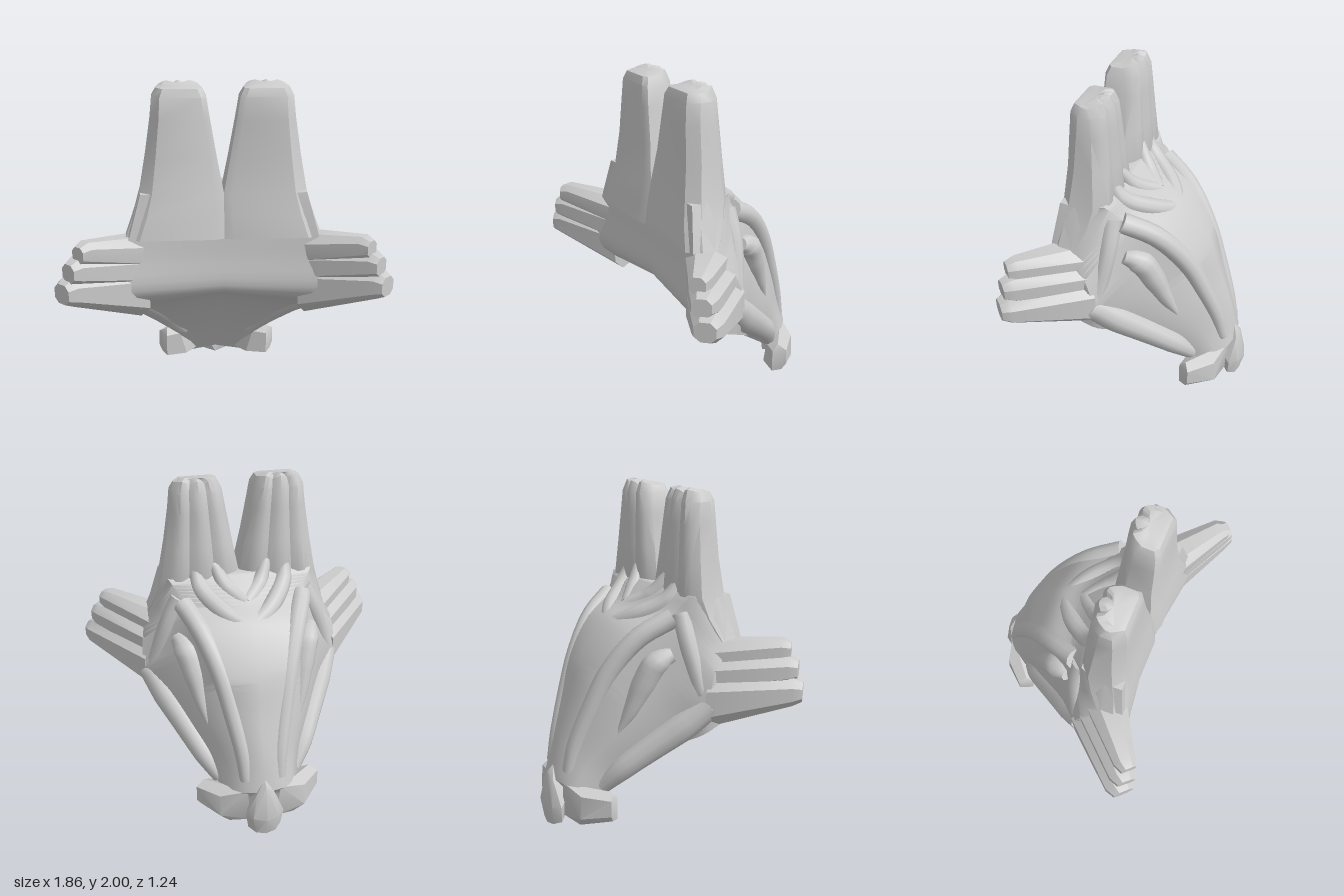
import * as THREE from 'three';
import { toCreasedNormals } from 'three/addons/utils/BufferGeometryUtils.js';
import { ConvexGeometry } from 'three/addons/geometries/ConvexGeometry.js';

const V = (x, y, z) => new THREE.Vector3(x, y, z);
const grey = new THREE.MeshStandardMaterial({ color: 0xcccccc });
grey.name = 'plain grey';

// Skin a list of closed rings, cap both ends and turn the faces outward
function loft(rows, crease = 0.7) {
  const n = rows[0].length, pts = rows.flat(), idx = [];
  for (let r = 0; r < rows.length - 1; r++) {
    for (let i = 0; i < n; i++) {
      const a = r * n + i, b = r * n + (i + 1) % n;
      idx.push(a, b, a + n, b, b + n, a + n);
    }
  }
  [0, rows.length - 1].forEach((r) => {
    const mid = V(0, 0, 0);
    rows[r].forEach((p) => mid.addScaledVector(p, 1 / n));
    const c = pts.push(mid) - 1;
    for (let i = 0; i < n; i++) {
      const a = r * n + i, b = r * n + (i + 1) % n;
      if (r) idx.push(a, b, c); else idx.push(b, a, c);
    }
  });
  let volume = 0;
  for (let i = 0; i < idx.length; i += 3) {
    volume += pts[idx[i]].dot(V(0, 0, 0).crossVectors(pts[idx[i + 1]], pts[idx[i + 2]]));
  }
  if (volume < 0) idx.reverse();
  const g = new THREE.BufferGeometry().setFromPoints(pts);
  g.setIndex(idx);
  return toCreasedNormals(g, crease);
}

// Rounded ridge with a radius at each control point
function ridge(points, radii) {
  const curve = new THREE.CatmullRomCurve3(points);
  const steps = 16, sides = 10, frames = curve.computeFrenetFrames(steps);
  const rows = [];
  for (let i = 0; i <= steps; i++) {
    const t = i / steps, k = Math.min(t * (radii.length - 1), radii.length - 1.001);
    const j = Math.floor(k), rad = THREE.MathUtils.lerp(radii[j], radii[j + 1], k - j);
    const c = curve.getPoint(t), row = [];
    for (let s = 0; s < sides; s++) {
      const a = s / sides * Math.PI * 2;
      row.push(c.clone().addScaledVector(frames.normals[i], Math.cos(a) * rad)
        .addScaledVector(frames.binormals[i], Math.sin(a) * rad));
    }
    rows.push(row);
  }
  return loft(rows, 1);
}

const hull = (points) => toCreasedNormals(new ConvexGeometry(points), 0.6);

// Head: each station runs underside centre, jaw edge, jaw side, cheek, brow, top centre
function headGeometry() {
  const stations = [
    [[0, .08, -.48], [.2, .06, -.45], [.22, .2, -.45], [.18, .26, -.5], [.11, .3, -.55], [0, .3, -.57]],
    [[0, .3, -.33], [.25, .27, -.29], [.28, .36, -.31], [.2, .42, -.42], [.11, .5, -.5], [0, .52, -.525]],
    [[0, .52, -.14], [.37, .43, -.11], [.4, .53, -.13], [.28, .62, -.28], [.15, .74, -.42], [0, .757, -.445]],
    [[0, .68, .06], [.48, .56, .05], [.52, .68, .04], [.35, .8, -.14], [.19, .98, -.33], [0, 1, -.365]],
    [[0, .77, .25], [.58, .64, .16], [.6, .82, .12], [.4, 1, -.01], [.27, 1.18, -.17], [0, 1.23, -.2]],
    [[0, .83, .365], [.58, .82, .44], [.6, 1, .18], [.46, 1.15, .09], [.36, 1.3, .04], [0, 1.31, -.075]],
    [[0, 1.05, .365], [.55, 1.06, .42], [.56, 1.12, .27], [.5, 1.22, .17], [.41, 1.38, .1], [0, 1.39, .05]],
    [[0, 1.4, .355], [.46, 1.4, .37], [.465, 1.4, .28], [.46, 1.4, .2], [.43, 1.41, .12], [0, 1.42, .1]],
  ];
  const lines = stations[0].map((_, c) =>
    new THREE.CatmullRomCurve3(stations.map((s) => V(...s[c]))));
  const rows = [];
  for (let i = 0; i <= 35; i++) {
    const half = lines.map((l) => l.getPoint(i / 35));
    const other = half.slice(1, 5).reverse().map((p) => V(-p.x, p.y, p.z));
    rows.push([...half, ...other]);
  }
  return loft(rows, 0.75);
}

// Ear: smooth front, three rounded stripes down the back, bumpy crown
function earGeometry(s) {
  const levels = [ // y, inner x, outer x, back z, front z
    [1.15, 0, .55, .18, .42], [1.28, 0, .5, .12, .4], [1.4, 0, .465, .09, .375],
    [1.6, .038, .43, .1, .35], [1.8, .073, .4, .11, .338], [1.92, .092, .388, .118, .328],
    [1.965, .115, .365, .14, .31], [1.975, .15, .335, .175, .28],
  ];
  return loft(levels.map(([y, x0, x1, zb, zf], level) => {
    const w = x1 - x0, row = [];
    row.push(V(s * x0, y, zf - .02), V(s * (x0 + .1 * w), y, zf),
      V(s * (x0 + .85 * w), y, zf), V(s * x1, y, zf - .06));
    for (let i = 12; i >= 0; i--) {
      const bump = Math.abs(Math.sin(i / 4 * Math.PI));
      const edge = Math.abs(i / 6 - 1) ** 3 * .06;
      const top = level > 5 ? bump * .02 : 0;
      row.push(V(s * (x0 + w * i / 12), y + top, zb + (1 - bump) * .022 + edge));
    }
    return row;
  }), 0.6);
}

// Wing finger: six-sided hull with a shrunken tip
function fingerGeometry(s, f) {
  const section = ([xo, zo], [xi, zi], lo, hi, k) => {
    const mx = (xo + xi) / 2, mz = (zo + zi) / 2, my = (lo + hi) / 2, h = (hi - lo) / 2;
    return [[1, -.5], [1, .45], [.45, 1], [-.5, 1], [-1, .5], [-1, -.5], [-.4, -1], [.5, -1]]
      .map(([u, v]) => V(s * (mx + (xo - mx) * u * k), my + h * v * k, mz + (zo - mz) * u * k));
  };
  const pull = ([x, z]) => [x - .035, z - .04];
  return hull([
    ...section(f.rootOut, f.rootIn, ...f.rootY, 1),
    ...section(pull(f.tipOut), pull(f.tipIn), ...f.tipY, 1),
    ...section(f.tipOut, f.tipIn, ...f.tipY, .7),
  ]);
}

export function createModel() {
  const model = new THREE.Group();
  model.name = 'animalMask';
  const add = (name, geometry) => {
    const mesh = new THREE.Mesh(geometry, grey);
    mesh.name = name;
    model.add(mesh);
  };

  add('head', headGeometry());

  const fingers = [
    { rootOut: [.55, .2], rootIn: [.42, .39], rootY: [.96, 1.15], tipOut: [.84, .51], tipIn: [.75, .6], tipY: [1.06, 1.19] },
    { rootOut: [.58, .16], rootIn: [.42, .39], rootY: [.86, 1.06], tipOut: [.9, .51], tipIn: [.8, .62], tipY: [.95, 1.1] },
    { rootOut: [.6, .12], rootIn: [.42, .39], rootY: [.66, .98], tipOut: [.95, .51], tipIn: [.83, .63], tipY: [.83, .99] },
  ];

  [['left', 1], ['right', -1]].forEach(([side, s]) => {
    const P = (list) => list.map(([x, y, z]) => V(s * x, y, z));
    add(side + 'Ear', earGeometry(s));
    fingers.forEach((f, i) => add(side + 'WingFinger' + (i + 1), fingerGeometry(s, f)));

    // Ridges framing the sunken eye area
    add(side + 'JawRidge', ridge(P([[.22, .28, -.34], [.3, .4, -.25], [.385, .53, -.11], [.48, .67, .05], [.56, .8, .18]]),
      [.05, .07, .08, .09, .08]));
    add(side + 'BrowRidge', ridge(P([[.1, .36, -.5], [.11, .52, -.46], [.15, .74, -.38], [.2, .97, -.28], [.28, 1.17, -.13], [.36, 1.28, .05]]),
      [.04, .05, .055, .06, .06, .06]));
    add(side + 'CheekBar', ridge(P([[.37, 1.3, .1], [.45, 1.13, .1], [.54, .86, .14]]), [.06, .055, .05]));
    add(side + 'Eye', ridge(P([[.41, 1.08, .02], [.37, 1.04, -.06], [.33, .9, -.13], [.3, .74, -.2], [.27, .6, -.27]]),
      [.04, .075, .07, .045, .012]));

    // Forehead bands running up into the ear stripes
    add(side + 'InnerForeheadBand', ridge(P([[0, 1.285, -.03], [.1, 1.36, .07], [.16, 1.48, .14]]), [.05, .05, .03]));
    add(side + 'OuterForeheadBand', ridge(P([[0, 1.19, -.16], [.14, 1.26, -.06], [.25, 1.36, .09], [.27, 1.48, .15]]),
      [.05, .055, .055, .03]));

    // Snout cheek
    add(side + 'SnoutCheek', hull(P([[.24, .25, -.32], [.33, .28, -.34], [.38, .25, -.37], [.38, .15, -.37], [.36, .11, -.35],
      [.33, .1, -.3], [.33, .24, -.3], [.2, .05, -.48], [.2, .1, -.33], [.26, .26, -.5], [.26, .12, -.51],
      [.1, .3, -.54], [.08, .08, -.53]])));
  });

  // Nose pad at the end of the snout
  const nose = [[0, .385, -.55], [0, .34, -.59], [0, .13, -.63], [0, .01, -.6], [0, 0, -.58], [0, .04, -.47]];
  [1, -1].forEach((s) => nose.push([s * .05, .31, -.58], [s * .115, .14, -.56], [s * .08, .14, -.605],
    [s * .1, .04, -.55], [s * .06, .02, -.59], [s * .09, .2, -.5]));
  add('nose', hull(nose.map((p) => V(...p))));

  return model;
}
